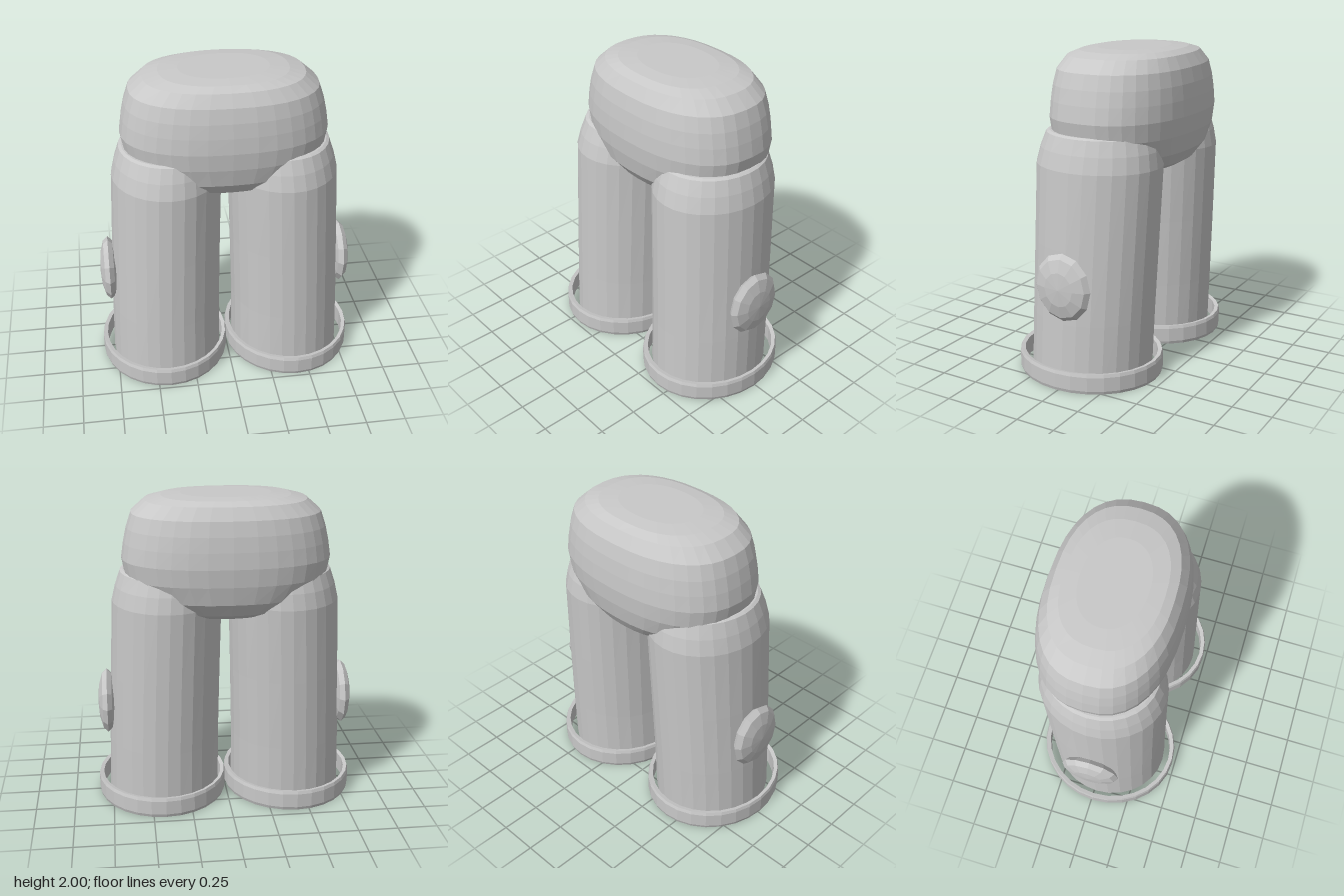
import * as THREE from 'three';

// Skin a stack of oval rings [y, centreX, centreZ, radiusX, radiusZ, exponent] from bottom to top
function loft(rings, sides, capBottom, capTop) {
  const pos = [], index = [];
  for (const [y, cx, cz, rx, rz, e = 2] of rings) {
    for (let i = 0; i < sides; i++) {
      const a = (i / sides) * Math.PI * 2, c = Math.cos(a), s = Math.sin(a);
      pos.push(
        cx + rx * Math.sign(c) * Math.abs(c) ** (2 / e), y,
        cz + rz * Math.sign(s) * Math.abs(s) ** (2 / e));
    }
  }
  for (let j = 0; j < rings.length - 1; j++) {
    for (let i = 0; i < sides; i++) {
      const a = j * sides + i, b = j * sides + (i + 1) % sides;
      index.push(a, a + sides, b, b, a + sides, b + sides);
    }
  }
  const cap = (j, up) => {
    const [y, cx, cz] = rings[j], centre = pos.length / 3;
    pos.push(cx, y, cz);
    for (let i = 0; i < sides; i++) {
      const a = j * sides + i, b = j * sides + (i + 1) % sides;
      index.push(centre, up ? b : a, up ? a : b);
    }
  };
  if (capBottom) cap(0, false);
  if (capTop) cap(rings.length - 1, true);
  const g = new THREE.BufferGeometry();
  g.setAttribute('position', new THREE.Float32BufferAttribute(pos, 3));
  g.setIndex(index);
  g.computeVertexNormals();
  return g;
}

export function createModel() {
  const model = new THREE.Group();
  model.name = 'trousers';
  const cloth = new THREE.MeshStandardMaterial({ color: 0xc8c8c8, flatShading: true, side: THREE.DoubleSide });
  cloth.name = 'light grey cloth';

  const add = (name, geometry) => {
    const mesh = new THREE.Mesh(geometry, cloth);
    mesh.name = name;
    model.add(mesh);
    return mesh;
  };

  // Rounded hip block, closed above and below
  add('hips', loft([
    [1.27, 0, -0.07, 0.30, 0.27, 2.3],
    [1.305, 0, -0.065, 0.42, 0.335, 2.3],
    [1.385, 0, -0.06, 0.54, 0.39, 2.4],
    [1.50, 0, -0.06, 0.63, 0.415, 2.4],
    [1.61, 0, -0.06, 0.65, 0.425, 2.4],
    [1.71, 0, -0.06, 0.635, 0.42, 2.4],
    [1.80, 0, -0.06, 0.615, 0.41, 2.4],
    [1.89, 0, -0.06, 0.585, 0.39, 2.4],
    [1.965, 0, -0.06, 0.50, 0.345, 2.4],
    [1.99, 0, -0.06, 0.40, 0.29, 2.4],
    [2.0, 0, -0.06, 0.28, 0.2, 2.2],
  ], 36, true, true));

  for (const side of [1, -1]) {
    const label = side > 0 ? 'left' : 'right';

    // Leg tube, open at the ankle and tucked into the hips
    add(label + 'Leg', loft([
      [0.02, 0.408, 0.018, 0.362, 0.39],
      [0.40, 0.402, 0.005, 0.357, 0.392],
      [0.85, 0.388, -0.01, 0.352, 0.396],
      [1.33, 0.371, -0.025, 0.347, 0.4],
      [1.43, 0.364, -0.03, 0.33, 0.38],
      [1.52, 0.356, -0.034, 0.307, 0.35],
      [1.53, 0.355, -0.034, 0.29, 0.33],
    ].map(([y, x, ...rest]) => [y, side * x, ...rest]), 28, false, true));

    // Loose band around the ankle
    const section = [
      [0.93, 0.01], [0.985, 0], [1, 0.02], [1, 0.11],
      [0.985, 0.13], [0.93, 0.125], [0.93, 0.01],
    ].map(([r, y]) => new THREE.Vector2(r, y));
    const cuff = add(label + 'Cuff', new THREE.LatheGeometry(section, 28));
    cuff.scale.set(0.421, 1, 0.467);
    cuff.position.set(side * 0.421, 0, 0.016);

    // Flattened oval knob on the outside of the leg
    const knob = new THREE.SphereGeometry(1, 12, 6);
    knob.rotateZ(Math.PI / 2);
    const patch = add(label + 'SideKnob', knob);
    patch.scale.set(0.06, 0.213, 0.193);
    patch.position.set(side * 0.77, 0.642, -0.007);
  }
  return model;
}
